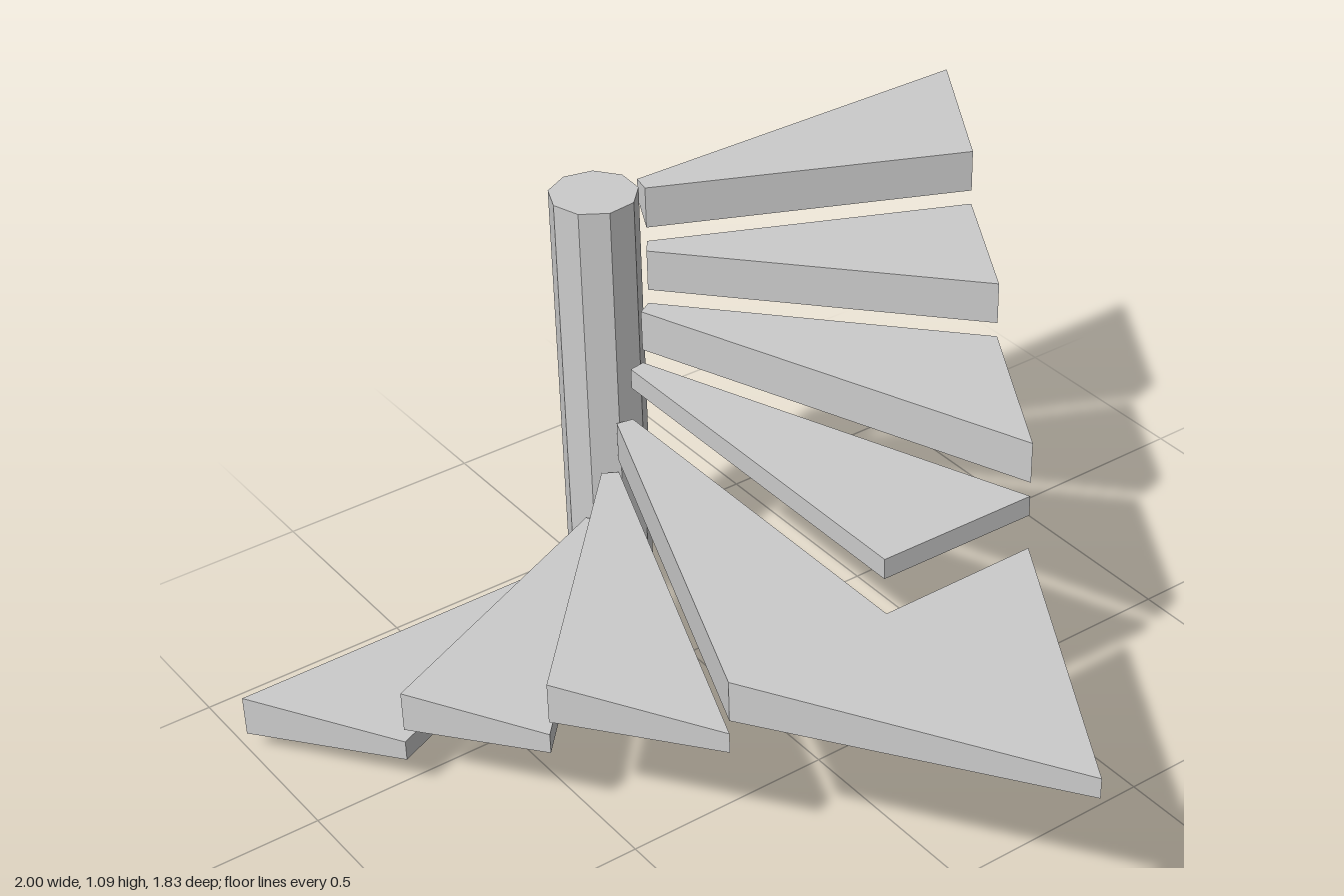
import * as THREE from 'three';

const THICK = 0.1, THIN = 0.05, RISE = 0.1345;
const AXIS_Z = -0.812, INNER_R = 0.11;

const material = new THREE.MeshStandardMaterial({ color: 0xcccccc, flatShading: true });

// Outer corners of the treads, from the bottom step round to the top one
const outer = [
  [-1, -0.81], [-0.79, -0.457], [-0.61, -0.143], [-0.4, 0.222],
  [0, 0.225], [0.39, 0.232], [0.607, -0.143], [0.788, -0.457], [1, -0.81],
];

// Point on the ring around the column, in line with an outer corner
function inner([x, z]) {
  const a = Math.atan2(z - AXIS_Z, x);
  return [INNER_R * Math.cos(a), AXIS_Z + INNER_R * Math.sin(a)];
}

// Flat-topped slab; each corner is [x, z, thickness], so the underside slopes
function slab(corners, top) {
  const shape = new THREE.Shape(corners.map(([x, z]) => new THREE.Vector2(x, -z)));
  const geo = new THREE.ExtrudeGeometry(shape, { depth: 1, bevelEnabled: false });
  geo.rotateX(-Math.PI / 2);
  const p = geo.attributes.position;
  for (let i = 0; i < p.count; i++) {
    let y = top;
    if (p.getY(i) < 0.5) {
      const near = corners.find(([x, z]) => Math.hypot(x - p.getX(i), z - p.getZ(i)) < 1e-4);
      y -= near[2];
    }
    p.setY(i, y);
  }
  geo.computeVertexNormals();
  return new THREE.Mesh(geo, material);
}

export function createModel() {
  const group = new THREE.Group();
  group.name = 'spiralStaircase';

  // Nine-sided central column
  const columnGeo = new THREE.CylinderGeometry(0.102, 0.102, 1.09, 9);
  columnGeo.rotateY(THREE.MathUtils.degToRad(27));
  const column = new THREE.Mesh(columnGeo, material);
  column.name = 'column';
  column.position.set(-0.005, 0.545, -0.815);
  group.add(column);

  // Eight wedge treads, deep at the leading edge and thin at the trailing edge
  for (let i = 0; i < 8; i++) {
    const lead = outer[i], trail = outer[i + 1];
    const leadDepth = i === 4 ? THIN : THICK;
    const corners = [[...inner(lead), leadDepth], [...lead, leadDepth]];
    // The fourth step widens into a pointed landing
    if (i === 3) corners.push([0, 0.91, THIN], [0.39, 0.234, THIN], [0, 0.234, THIN]);
    else corners.push([...trail, THIN]);
    corners.push([...inner(trail), THIN]);
    const tread = slab(corners, 0.146 + i * RISE);
    tread.name = i === 3 ? 'landingTread' : `tread${i + 1}`;
    group.add(tread);
  }
  return group;
}
